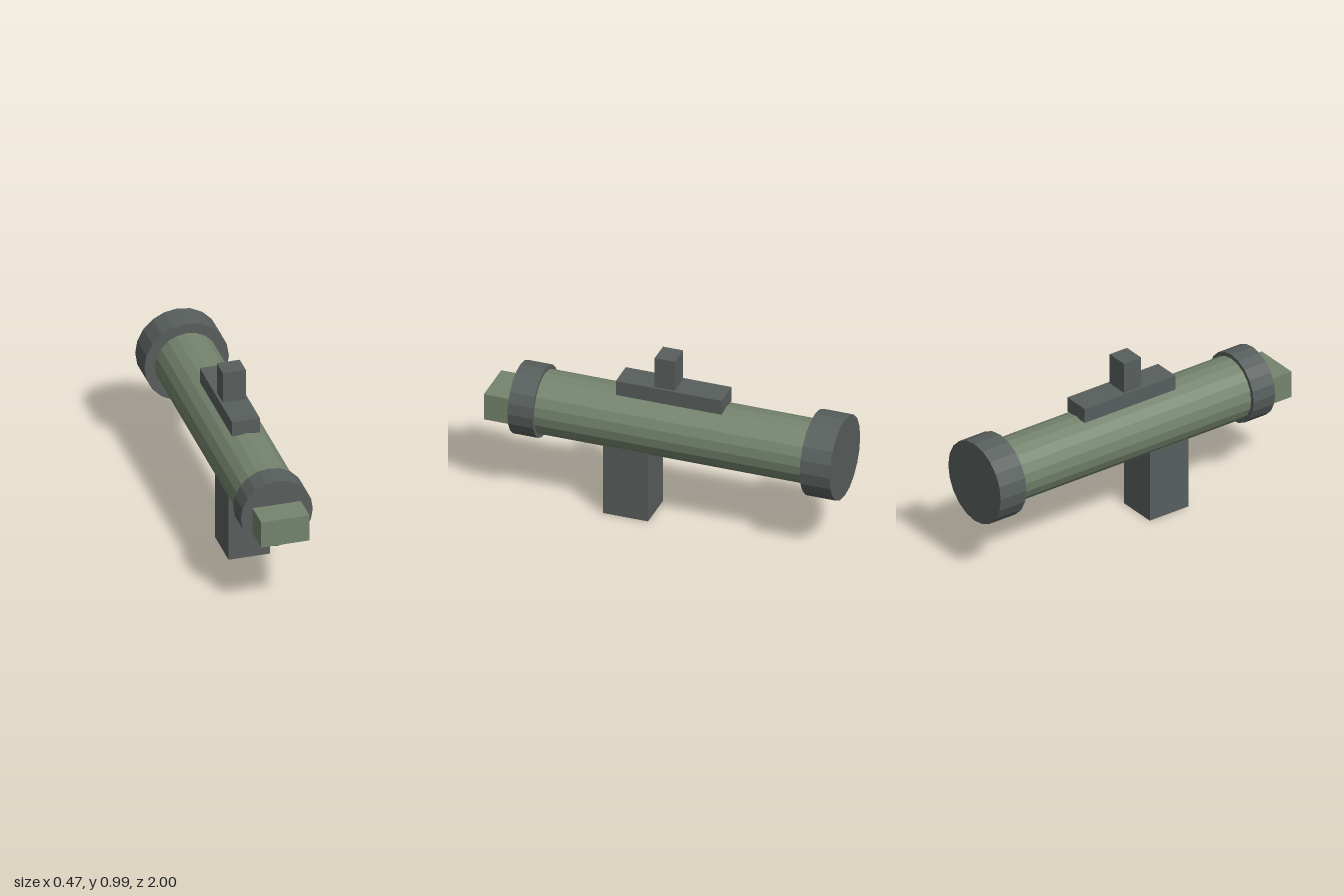
import * as THREE from 'three';

export function createModel() {
  const model = new THREE.Group();
  model.name = 'launcher';

  const green = new THREE.MeshStandardMaterial({ color: 0x75846e });
  green.name = 'olive green';
  const grey = new THREE.MeshStandardMaterial({ color: 0x585f5d });
  grey.name = 'dark grey';

  const axisY = 0.552;

  const add = (name, geometry, material, x, y, z) => {
    const mesh = new THREE.Mesh(geometry, material);
    mesh.name = name;
    mesh.position.set(x, y, z);
    model.add(mesh);
  };

  // Faceted cylinder along z, on the barrel axis
  const drum = (name, radius, z0, z1, material) => {
    const g = new THREE.CylinderGeometry(radius, radius, z1 - z0, 20).rotateX(Math.PI / 2).toNonIndexed();
    g.computeVertexNormals();
    add(name, g, material, 0, axisY, (z0 + z1) / 2);
  };

  // Box given by its width and its y and z extents
  const block = (name, width, y0, y1, z0, z1, material) =>
    add(name, new THREE.BoxGeometry(width, y1 - y0, z1 - z0), material, 0, (y0 + y1) / 2, (z0 + z1) / 2);

  // Barrel with its end caps
  drum('barrel', 0.177, -0.84, 0.72, green);
  drum('frontCap', 0.2, 0.7, 0.842, grey);
  drum('rearCap', 0.235, -1, -0.83, grey);

  // Block projecting from the front cap
  block('frontBlock', 0.268, 0.453, 0.608, 0.8, 1, green);

  // Grip below, sight above
  block('grip', 0.23, 0, 0.42, 0.075, 0.33, grey);
  block('sightBase', 0.155, 0.722, 0.808, -0.328, 0.272, grey);
  block('sightPost', 0.128, 0.79, 0.987, -0.058, 0.056, grey);

  return model;
}
